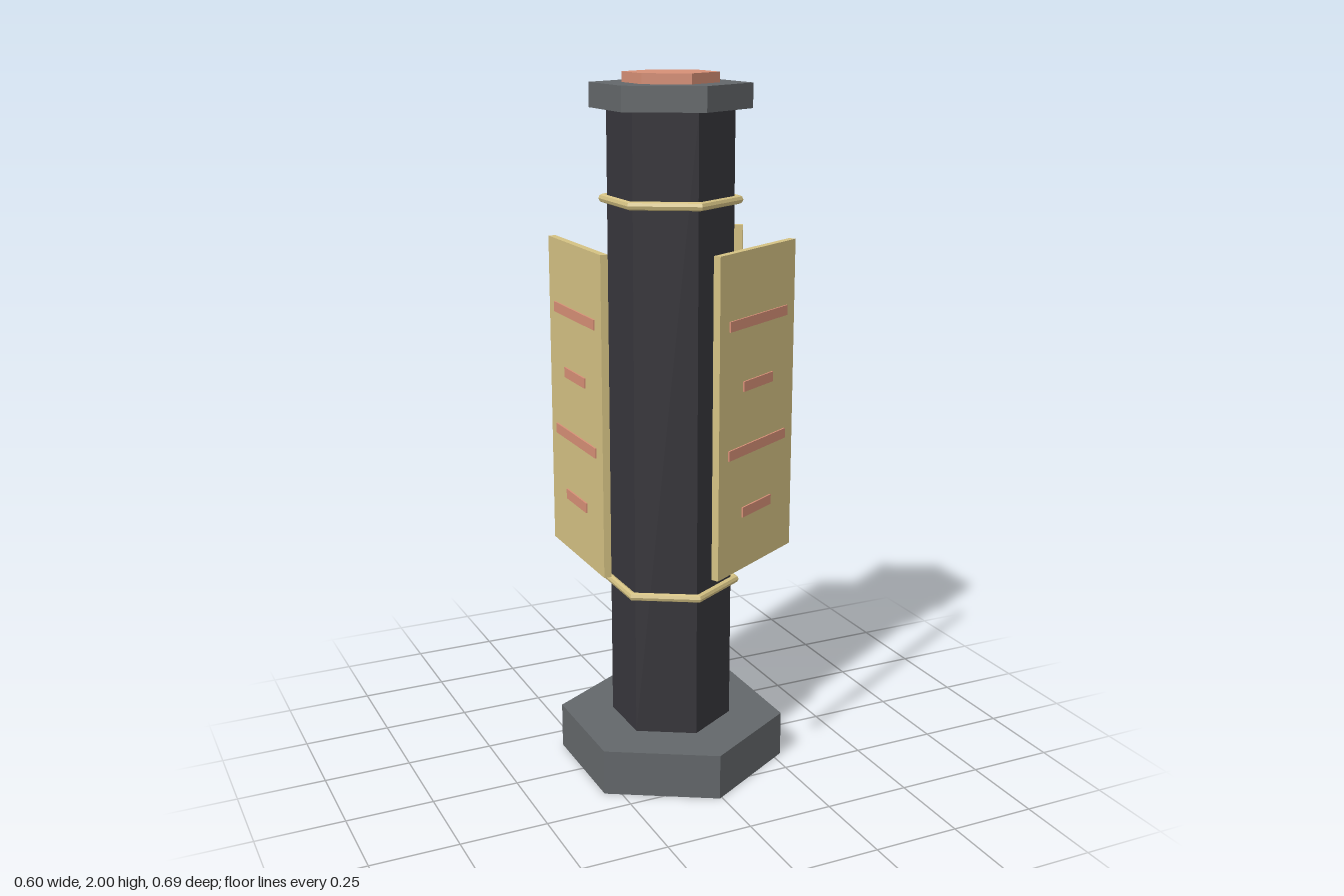
import * as THREE from 'three';

export function createModel() {
  const mat = (name, color) => {
    const m = new THREE.MeshStandardMaterial({ color, flatShading: true });
    m.name = name;
    return m;
  };
  const slate = mat('slate grey', 0x63676a);
  const charcoal = mat('charcoal', 0x37363b);
  const gold = mat('pale gold', 0xd4c183);
  const coral = mat('coral', 0xd68f76);

  const model = new THREE.Group();
  model.name = 'hexagonalPillar';
  // The pillar axis sits slightly off centre because the panels are uneven in x
  const body = new THREE.Group();
  body.name = 'pillar';
  body.position.x = -0.008;
  model.add(body);

  const add = (parent, name, geometry, material, x, y, z) => {
    const mesh = new THREE.Mesh(geometry, material);
    mesh.name = name;
    mesh.position.set(x, y, z);
    parent.add(mesh);
    return mesh;
  };

  // Stacked hexagonal prisms, corners towards +z and -z
  const prism = (name, radius, y0, y1, material) =>
    add(body, name, new THREE.CylinderGeometry(radius, radius, y1 - y0, 6), material, 0, (y0 + y1) / 2, 0);
  prism('base', 0.33, 0, 0.133, slate);
  prism('column', 0.175, 0.133, 1.905, charcoal);
  prism('cap', 0.222, 1.905, 1.972, slate);
  prism('topLight', 0.132, 1.972, 2, coral);

  // Thin hexagonal bands around the column
  for (const [name, y] of [['lowerBand', 0.557], ['upperBand', 1.661]]) {
    const ring = new THREE.TorusGeometry(0.187, 0.012, 8, 6);
    ring.rotateX(Math.PI / 2).rotateY(Math.PI / 2);
    add(body, name, ring, gold, 0, y, 0);
  }

  // Three floating panels with raised strips on the outside
  const strips = [[1.362, 0.288], [1.188, 0.146], [1.01, 0.288], [0.833, 0.146]];
  for (let i = 0; i < 3; i++) {
    const panel = new THREE.Group();
    panel.name = 'panel' + (i + 1);
    panel.rotation.y = Math.PI / 6 + (i * Math.PI * 2) / 3;
    add(panel, 'plate', new THREE.BoxGeometry(0.376, 0.886, 0.021), gold, 0, 1.11, 0.277);
    for (const [y, width] of strips) {
      add(panel, 'strip', new THREE.BoxGeometry(width, 0.028, 0.009), coral, 0, y, 0.2878);
    }
    body.add(panel);
  }
  return model;
}
